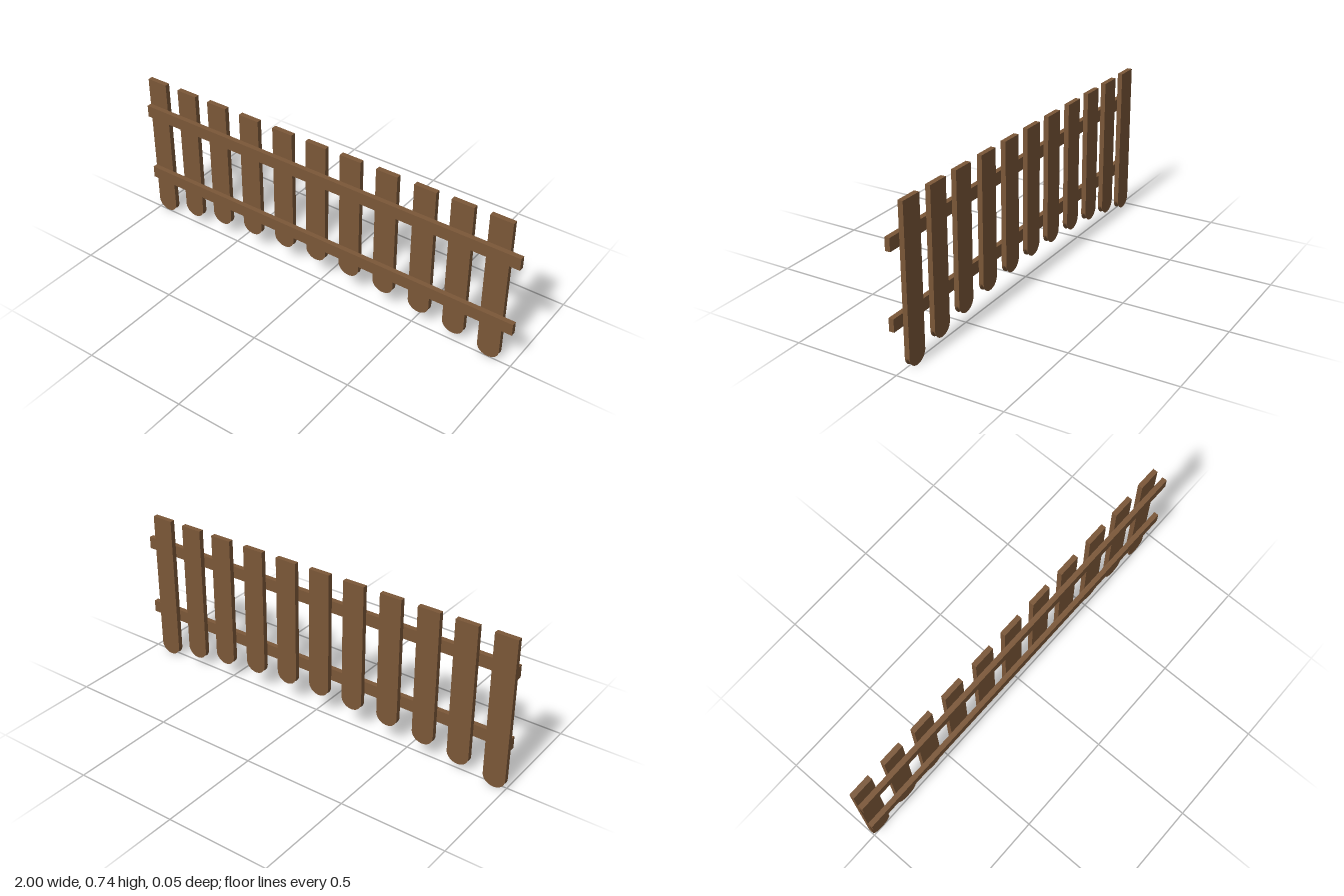
import * as THREE from 'three';

const WIDTH = 0.107, DEPTH = 0.024, TOP = 0.735, ROUND = 0.05;

// One picket: flat top, rounded foot with a V groove along the rim of the foot
function picketGeometry(bottom) {
  const r = WIDTH / 2, arcY = bottom + ROUND;
  const shape = new THREE.Shape();
  shape.moveTo(r, TOP);
  shape.lineTo(-r, TOP);
  shape.lineTo(-r, arcY);
  shape.absellipse(0, arcY, r, ROUND, Math.PI, Math.PI * 2, false);
  shape.lineTo(r, TOP);
  const geo = new THREE.ExtrudeGeometry(shape, { depth: DEPTH, steps: 2, bevelEnabled: false, curveSegments: 16 });
  // Raise the middle section of the foot to cut the groove
  const p = geo.attributes.position;
  for (let i = 0; i < p.count; i++) {
    const y = p.getY(i);
    if (Math.abs(p.getZ(i) - DEPTH / 2) < 0.001 && y < arcY) p.setY(i, arcY - (arcY - y) * 0.5);
  }
  geo.translate(0, 0, -DEPTH);
  geo.computeVertexNormals();
  return geo;
}

export function createModel() {
  const group = new THREE.Group();
  group.name = 'picketFence';
  const wood = new THREE.MeshStandardMaterial({ color: 0x7b5738 });
  wood.name = 'brownWood';

  // Pickets, their feet following a shallow arch
  const centres = [-0.947, -0.767, -0.588, -0.401, -0.212, -0.03, 0.153, 0.339, 0.528, 0.707, 0.886];
  const bottoms = [0, 0.04, 0.07, 0.09, 0.1, 0.105];
  centres.forEach((x, i) => {
    const picket = new THREE.Mesh(picketGeometry(bottoms[Math.min(i, 10 - i)]), wood);
    picket.name = `picket${i + 1}`;
    picket.position.x = x;
    group.add(picket);
  });

  // Horizontal rails on the front
  for (const [name, y] of [['lowerRail', 0.223], ['upperRail', 0.571]]) {
    const rail = new THREE.Mesh(new THREE.BoxGeometry(2, 0.059, DEPTH), wood);
    rail.name = name;
    rail.position.set(0, y, DEPTH / 2);
    group.add(rail);
  }
  return group;
}
